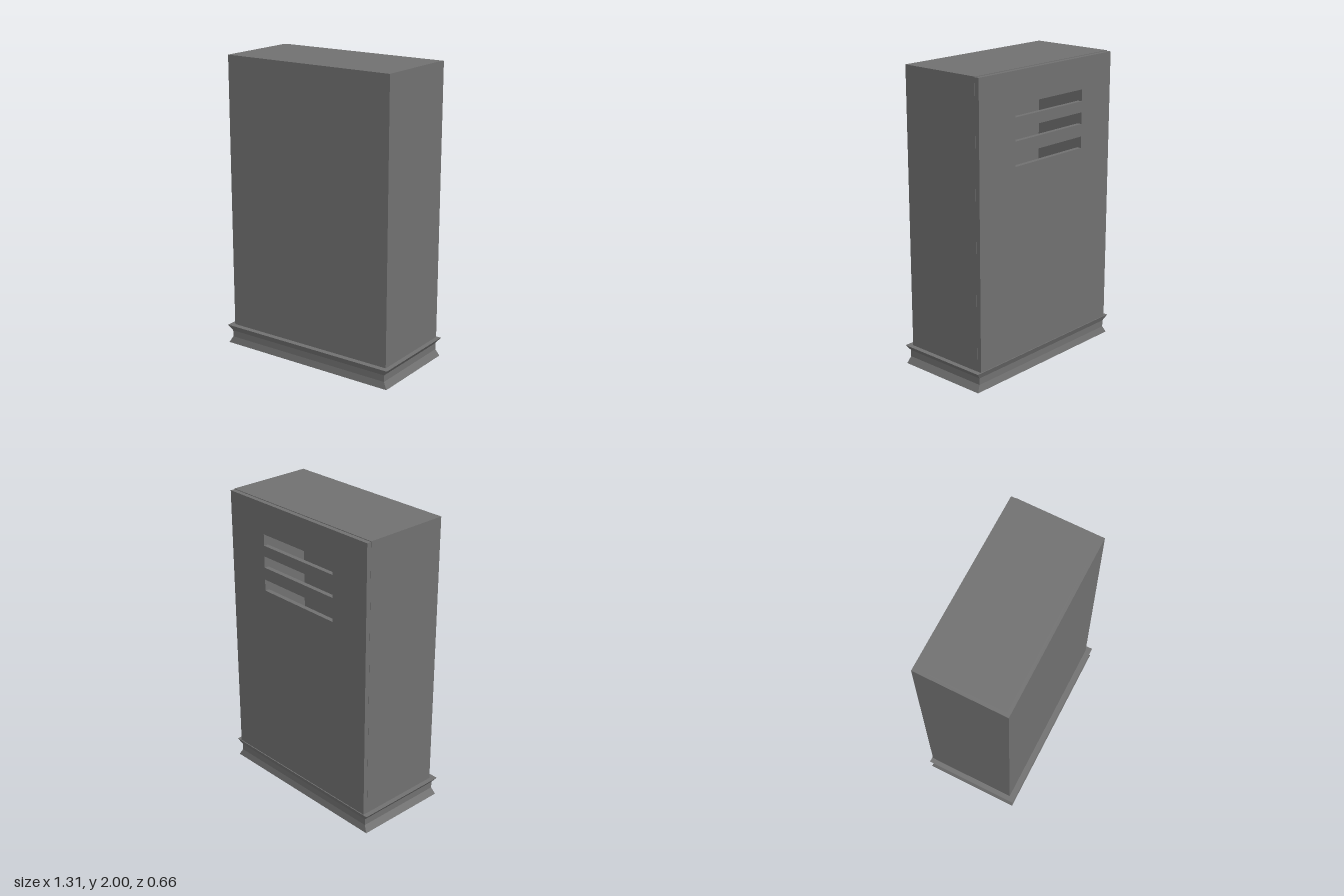
import * as THREE from 'three';

const grey = new THREE.MeshStandardMaterial({ color: 0x707070, flatShading: true });

// Box given by its minimum and maximum corners
function panel(name, [x0, y0, z0], [x1, y1, z1]) {
  const mesh = new THREE.Mesh(new THREE.BoxGeometry(x1 - x0, y1 - y0, z1 - z0), grey);
  mesh.position.set((x0 + x1) / 2, (y0 + y1) / 2, (z0 + z1) / 2);
  mesh.name = name;
  return mesh;
}

// Closed rectangular loft through rings of [y, half width, half depth]
function rectLoft(rings) {
  const points = rings.flatMap(([y, w, d]) => [[w, y, d], [w, y, -d], [-w, y, -d], [-w, y, d]]).flat();
  const index = [0, 3, 2, 0, 2, 1];
  for (let r = 0; r < rings.length - 1; r++) {
    for (let k = 0; k < 4; k++) {
      const a = r * 4 + k, b = r * 4 + (k + 1) % 4;
      index.push(a, b, b + 4, a, b + 4, a + 4);
    }
  }
  const t = (rings.length - 1) * 4;
  index.push(t, t + 1, t + 2, t, t + 2, t + 3);
  const geometry = new THREE.BufferGeometry();
  geometry.setAttribute('position', new THREE.Float32BufferAttribute(points, 3));
  geometry.setIndex(index);
  const flat = geometry.toNonIndexed();
  flat.computeVertexNormals();
  return flat;
}

function rectangle(target, x0, y0, x1, y1) {
  target.moveTo(x0, y0);
  target.lineTo(x1, y0);
  target.lineTo(x1, y1);
  target.lineTo(x0, y1);
  target.closePath();
  return target;
}

export function createModel() {
  const model = new THREE.Group();
  model.name = 'cabinet';
  const W = 0.622, wall = 0.025, front = 0.294, seam = -0.295, bottom = 0.128, top = 2;

  // Plinth with a pinched waist and flared lip
  const plinth = new THREE.Mesh(rectLoft([
    [0, 0.65, 0.327], [0.045, 0.624, 0.315], [0.09, 0.624, 0.315], [0.13, 0.655, 0.332],
  ]), grey);
  plinth.name = 'plinth';
  model.add(plinth);

  // Hollow body, open towards the door
  const body = new THREE.Group();
  body.name = 'body';
  body.add(
    panel('frontPanel', [-W, bottom, front - wall], [W, top, front]),
    panel('leftSide', [W - wall, bottom, seam], [W, top, front - wall]),
    panel('rightSide', [-W, bottom, seam], [-W + wall, top, front - wall]),
    panel('topPanel', [-W + wall, top - wall, seam], [W - wall, top, front - wall]),
    panel('floorPanel', [-W + wall, bottom, seam], [W - wall, bottom + wall, front - wall]),
  );
  model.add(body);

  // Back door with three ventilation slots
  const outline = rectangle(new THREE.Shape(), -W + 0.001, bottom, W - 0.001, top - 0.004);
  for (const y of [1.71, 1.56, 1.4]) {
    outline.holes.push(rectangle(new THREE.Path(), -0.33, y, 0.302, y + 0.077));
  }
  const door = new THREE.Mesh(
    new THREE.ExtrudeGeometry(outline, { depth: 0.031, bevelEnabled: false }), grey);
  door.position.z = seam - 0.031;
  door.name = 'ventedDoor';
  model.add(door);

  return model;
}
